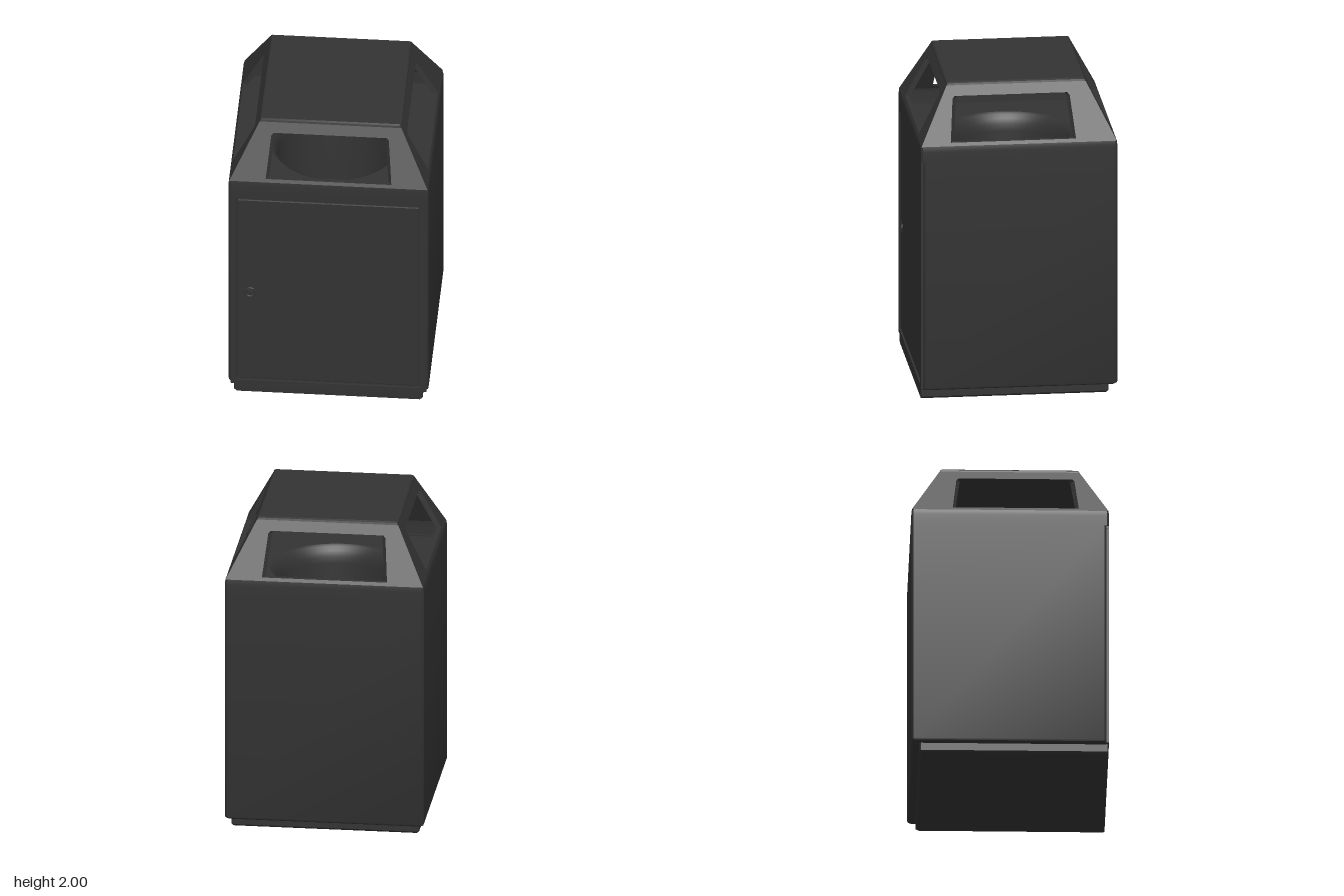
import * as THREE from 'three';
import { toCreasedNormals } from 'three/addons/utils/BufferGeometryUtils.js';

const material = new THREE.MeshStandardMaterial({ color: 0x333333, side: THREE.DoubleSide });

function add(parent, name, geometry, x = 0, y = 0, z = 0) {
  const mesh = new THREE.Mesh(geometry, material);
  mesh.name = name;
  mesh.position.set(x, y, z);
  parent.add(mesh);
  return mesh;
}

// Rectangular rings with chamfered corners, joined upwards: [y, halfX, frontZ, backZ]
function loft(rings, chamfer, topCap) {
  const pos = [], idx = [], n = 8, c = chamfer;
  for (const [y, hx, zf, zb] of rings) {
    const ring = [
      [hx - c, zf], [hx, zf - c], [hx, zb + c], [hx - c, zb],
      [c - hx, zb], [-hx, zb + c], [-hx, zf - c], [c - hx, zf],
    ];
    for (const [x, z] of ring) pos.push(x, y, z);
  }
  for (let i = 0; i < rings.length - 1; i++) {
    for (let j = 0; j < n; j++) {
      const a = i * n + j, b = i * n + (j + 1) % n;
      idx.push(a, b, b + n, a, b + n, a + n);
    }
  }
  const top = (rings.length - 1) * n;
  for (let j = 1; j < n - 1; j++) {
    idx.push(0, j + 1, j);
    if (topCap) idx.push(top, top + j, top + j + 1);
  }
  const geo = new THREE.BufferGeometry();
  geo.setAttribute('position', new THREE.Float32BufferAttribute(pos, 3));
  geo.setIndex(idx);
  return toCreasedNormals(geo, 0.5);
}

const polygon = (Type, pts) => new Type(pts.map(([x, y]) => new THREE.Vector2(x, y)));
const rect = (x0, y0, x1, y1) => [[x0, y0], [x1, y0], [x1, y1], [x0, y1]];

function extrude(outline, hole, depth) {
  const shape = polygon(THREE.Shape, outline);
  if (hole) shape.holes.push(hole);
  return new THREE.ExtrudeGeometry(shape, { depth, bevelEnabled: false, curveSegments: 48 });
}

// Sloping hood: half width of the outer skin at height y
const HOOD_BOTTOM = 1.64, HOOD_TOP = 1.98, THICK = 0.03, INSET_Z = 0.007;
const hoodHalf = (y) => THREE.MathUtils.mapLinear(y, HOOD_BOTTOM, HOOD_TOP, 0.6155, 0.44);

// One mitred hood panel with a trapezoid window whose middle is moved by shift
function hoodPanel(isSide, shift) {
  const half = (y) => hoodHalf(y) - (isSide ? INSET_Z : 0);
  const dist = (y) => hoodHalf(y) - (isSide ? 0 : INSET_Z);
  const b = half(HOOD_BOTTOM), t = half(HOOD_TOP);
  const windowHole = polygon(THREE.Path, [
    [shift - 0.39, 1.66], [shift + 0.39, 1.66], [shift + 0.365, 1.905], [shift + 0.35, 1.92],
    [shift - 0.35, 1.92], [shift - 0.365, 1.905],
  ]);
  const geo = extrude(
    [[-b, HOOD_BOTTOM], [b, HOOD_BOTTOM], [t, HOOD_TOP], [-t, HOOD_TOP]], windowHole, THICK);
  const p = geo.attributes.position;
  for (let i = 0; i < p.count; i++) {
    const y = p.getY(i), inward = THICK - p.getZ(i);
    p.setX(i, p.getX(i) * (1 - inward / half(y)));
    p.setZ(i, dist(y) - inward);
  }
  geo.computeVertexNormals();
  return geo;
}

export function createModel() {
  const model = new THREE.Group();
  model.name = 'litterBin';

  // Plinth, flush at the front and set back on the other sides
  add(model, 'plinth', loft([
    [0, 0.575, 0.608, -0.55], [0.012, 0.585, 0.61, -0.56], [0.07, 0.585, 0.61, -0.56],
  ], 0.008, true));

  // Body shell, stepped in at the front to receive the door frame
  add(model, 'body', loft([
    [0.06, 0.605, 0.597, -0.597], [0.068, 0.616, 0.597, -0.607], [0.08, 0.62, 0.597, -0.612],
    [1.54, 0.62, 0.597, -0.612], [1.54, 0.62, 0.612, -0.612],
    [1.605, 0.62, 0.612, -0.612], [1.625, 0.619, 0.611, -0.611],
    [HOOD_BOTTOM, 0.6155, 0.6085, -0.6085],
  ], 0.012, false));

  // Door frame and door leaf with a narrow groove between
  const frameHole = polygon(THREE.Path, rect(-0.572, 0.09, 0.572, 1.505));
  add(model, 'doorFrame', extrude(rect(-0.608, 0.062, 0.608, 1.54), frameHole, 0.015), 0, 0, 0.597);
  const leaf = new THREE.ExtrudeGeometry(polygon(THREE.Shape, rect(-0.556, 0.106, 0.556, 1.489)), {
    depth: 0.004, bevelThickness: 0.005, bevelSize: 0.005, bevelSegments: 2,
  });
  add(model, 'door', leaf, 0, 0, 0.597);

  // Round lock
  const lock = new THREE.Group();
  lock.name = 'lock';
  lock.position.set(-0.485, 0.775, 0.606);
  model.add(lock);
  add(lock, 'lockRing', new THREE.TorusGeometry(0.032, 0.005, 8, 32));
  const barrel = new THREE.CylinderGeometry(0.018, 0.02, 0.012, 24);
  barrel.rotateX(Math.PI / 2);
  add(lock, 'lockBarrel', barrel);

  // Four hood panels
  const panels = [
    ['frontHood', 0, 0], ['leftHood', 1, -0.035], ['backHood', 2, 0], ['rightHood', 3, 0.035],
  ];
  for (const [name, turn, shift] of panels) {
    add(model, name, hoodPanel(turn % 2 === 1, shift)).rotation.y = turn * Math.PI / 2;
  }

  // Flat roof with softened edges
  const roofRing = (y, h) => [y, h, h - INSET_Z, INSET_Z - h];
  add(model, 'roof', loft([
    roofRing(1.95, 0.43), roofRing(HOOD_TOP, 0.44), roofRing(1.992, 0.436), roofRing(2, 0.427),
  ], 0.004, true));

  // Shelf with the round opening, rolled lip and inner liner
  const opening = new THREE.Path().absarc(0, 0, 0.41, 0, Math.PI * 2, true);
  const shelf = extrude(rect(-0.612, -0.604, 0.612, 0.604), opening, 0.01);
  shelf.rotateX(-Math.PI / 2);
  add(model, 'shelf', shelf, 0, 1.52, 0);
  const liner = [
    [0, 0.15], [0.36, 0.15], [0.36, 1.42], [0.365, 1.46], [0.378, 1.495], [0.393, 1.518], [0.41, 1.53],
  ].map(([r, y]) => new THREE.Vector2(r, y));
  add(model, 'liner', toCreasedNormals(new THREE.LatheGeometry(liner, 64), 0.6));

  return model;
}
